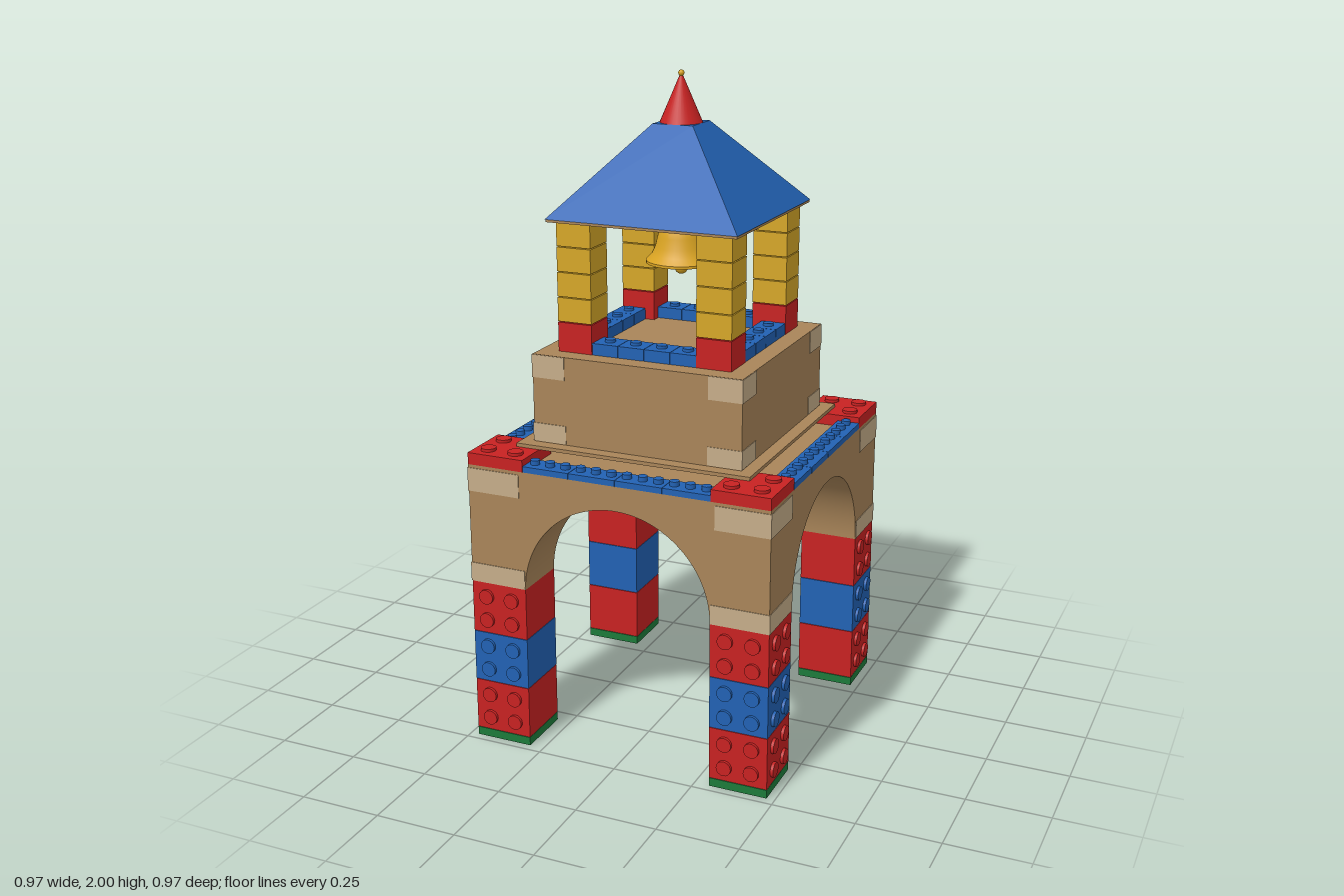
import * as THREE from 'three';
import { toCreasedNormals } from 'three/addons/utils/BufferGeometryUtils.js';

const mat = (name, color, side = THREE.FrontSide) => {
  const m = new THREE.MeshStandardMaterial({ color, side });
  m.name = name;
  return m;
};

export function createModel() {
  const red = mat('red', 0xc82222);
  const blue = mat('blue', 0x2262b4);
  const tan = mat('tan', 0xa98559);
  const lightTan = mat('light tan', 0xc6ad89);
  const yellow = mat('yellow', 0xd6a728);
  const gold = mat('gold', 0xd9a322, THREE.DoubleSide);
  const green = mat('green', 0x1c7a3a);

  const model = new THREE.Group();
  model.name = 'bellTower';

  const add = (parent, name, geo, material, x = 0, y = 0, z = 0) => {
    const m = new THREE.Mesh(geo, material);
    m.name = name;
    m.position.set(x, y, z);
    parent.add(m);
    return m;
  };
  // Box given by its extents on each axis
  const box = (parent, name, material, [x0, x1], [y0, y1], [z0, z1]) =>
    add(parent, name, new THREE.BoxGeometry(x1 - x0, y1 - y0, z1 - z0), material,
      (x0 + x1) / 2, (y0 + y1) / 2, (z0 + z1) / 2);
  // Round stud pointing along an axis, with its foot at x, y, z
  const stud = (parent, material, axis, r, h, x, y, z) => {
    const m = add(parent, 'stud', new THREE.CylinderGeometry(r, r, h, 20), material, x, y, z);
    if (axis === 'x') m.rotation.z = -Math.PI / 2;
    if (axis === 'z') m.rotation.x = Math.PI / 2;
    m.position[axis] += h / 2;
  };

  const IN = 0.295, OUT = 0.475, MID = (IN + OUT) / 2;
  const GAP = 0.0015;

  // Wall with a semicircular opening
  const wallShape = new THREE.Shape();
  wallShape.moveTo(-OUT, 0.515);
  wallShape.lineTo(-IN, 0.515);
  wallShape.absarc(0, 0.515, IN, Math.PI, 0, true);
  wallShape.lineTo(OUT, 0.515);
  wallShape.lineTo(OUT, 0.885);
  wallShape.lineTo(-OUT, 0.885);
  wallShape.closePath();
  const wallGeo = toCreasedNormals(new THREE.ExtrudeGeometry(wallShape,
    { depth: OUT - IN, bevelEnabled: false, curveSegments: 40 }), 0.5);

  // One quarter of the tower: a front side and its left corner
  const quarter = (k) => {
    const q = new THREE.Group();
    q.name = 'side' + (k + 1);
    q.rotation.y = k * Math.PI / 2;
    model.add(q);

    // Leg of three studded bricks on a green foot
    box(q, 'legFoot', green, [IN, OUT], [0, 0.026], [IN, OUT]);
    [[0.026, 0.19, red], [0.19, 0.351, blue], [0.351, 0.515, red]].forEach(([y0, y1, m]) => {
      box(q, 'legBrick', m, [IN, OUT], [y0 + GAP, y1], [IN, OUT]);
      for (const du of [-0.042, 0.042]) for (const dy of [-0.038, 0.038]) {
        const y = (y0 + y1) / 2 + dy;
        stud(q, m, 'z', 0.023, 0.009, MID + du, y, OUT);
        stud(q, m, 'x', 0.023, 0.009, OUT, y, MID + du);
      }
    });

    // Arch wall with pale corner blocks
    add(q, 'archWall', wallGeo, tan, 0, 0, IN);
    for (const s of [-1, 1]) {
      const span = (a, b) => (s > 0 ? [a, b] : [-b, -a]);
      box(q, 'lowerPaleBlock', lightTan, span(IN + 0.001, OUT + 0.002), [0.516, 0.575], [OUT - 0.002, OUT + 0.002]);
      box(q, 'upperPaleBlock', lightTan, span(0.308, OUT + 0.002), [0.803, 0.875], [OUT - 0.002, OUT + 0.002]);
      box(q, 'upperPaleBlock', lightTan, span(0.225, 0.332), [0.934, 0.99], [0.328, 0.332]);
      box(q, 'upperPaleBlock', lightTan, span(0.227, 0.332), [1.13, 1.199], [0.328, 0.332]);
    }

    // Ledge: red corner plate and a row of small blue bricks
    box(q, 'ledgeCorner', red, [IN, OUT], [0.885, 0.921], [IN, OUT]);
    for (const [x, z] of [[0.43, 0.43], [0.34, 0.43], [0.43, 0.34]])
      stud(q, red, 'y', 0.023, 0.009, x, 0.921, z);
    for (let i = 0; i < 4; i++) {
      const x = -IN + i * IN / 2;
      box(q, 'ledgeBrick', blue, [x + GAP, x + IN / 2], [0.885, 0.903], [0.405, OUT]);
    }
    for (let i = 0; i < 12; i++)
      stud(q, blue, 'y', 0.014, 0.014, (i - 5.5) * 0.049, 0.903, 0.44);

    // Belfry: low blue wall, red post base, yellow post
    for (let i = 0; i < 4; i++) {
      const x = -0.165 + i * 0.0825;
      box(q, 'belfryWallBrick', blue, [x + GAP, x + 0.0825], [1.2, 1.235], [0.195, 0.272]);
      stud(q, blue, 'y', 0.016, 0.009, x + 0.041, 1.235, 0.233);
    }
    box(q, 'postBase', red, [0.165, 0.273], [1.2, 1.288], [0.165, 0.273]);
    for (let i = 0; i < 4; i++) {
      const y = 1.288 + i * 0.0745;
      box(q, 'postBrick', yellow, [0.165, 0.273], [y + 2 * GAP, y + 0.0745], [0.165, 0.273]);
    }
  };
  for (let k = 0; k < 4; k++) quarter(k);

  // Ceiling over the arches, slab and upper block
  box(model, 'ceiling', tan, [-0.3, 0.3], [0.86, 0.885], [-0.3, 0.3]);
  box(model, 'slab', tan, [-0.37, 0.37], [0.921, 0.932], [-0.37, 0.37]);
  box(model, 'upperBlock', tan, [-0.33, 0.33], [0.932, 1.2], [-0.33, 0.33]);

  // Roof: tan board, blue truncated pyramid, red spire, gold finial
  box(model, 'roofBoard', tan, [-0.295, 0.295], [1.586, 1.594], [-0.295, 0.295]);
  const roofGeo = new THREE.CylinderGeometry(0.063 * Math.SQRT2, 0.297 * Math.SQRT2, 0.256, 4)
    .rotateY(Math.PI / 4).toNonIndexed();
  roofGeo.computeVertexNormals();
  add(model, 'roof', roofGeo, blue, 0, 1.722, 0);
  add(model, 'spire', new THREE.CylinderGeometry(0.006, 0.063, 0.132, 32), red, 0, 1.916, 0);
  add(model, 'finialStem', new THREE.CylinderGeometry(0.004, 0.004, 0.02, 12), gold, 0, 1.982, 0);
  add(model, 'finialBall', new THREE.SphereGeometry(0.009, 16, 12), gold, 0, 1.991, 0);

  // Bell with hanger and clapper
  const bell = new THREE.Group();
  bell.name = 'bell';
  model.add(bell);
  const profile = [[0.095, 1.436], [0.105, 1.436], [0.105, 1.444], [0.088, 1.462], [0.077, 1.485],
    [0.07, 1.515], [0.063, 1.54], [0.05, 1.56], [0.03, 1.571], [0, 1.574]]
    .map(([r, y]) => new THREE.Vector2(r, y));
  add(bell, 'bellBody', toCreasedNormals(new THREE.LatheGeometry(profile, 40), 0.7), gold);
  add(bell, 'bellHanger', new THREE.CylinderGeometry(0.01, 0.01, 0.02, 16), gold, 0, 1.578, 0);
  add(bell, 'clapperRod', new THREE.CylinderGeometry(0.006, 0.006, 0.15, 12), gold, 0, 1.495, 0);
  add(bell, 'clapperBall', new THREE.SphereGeometry(0.02, 20, 14), gold, 0, 1.42, 0);

  return model;
}
